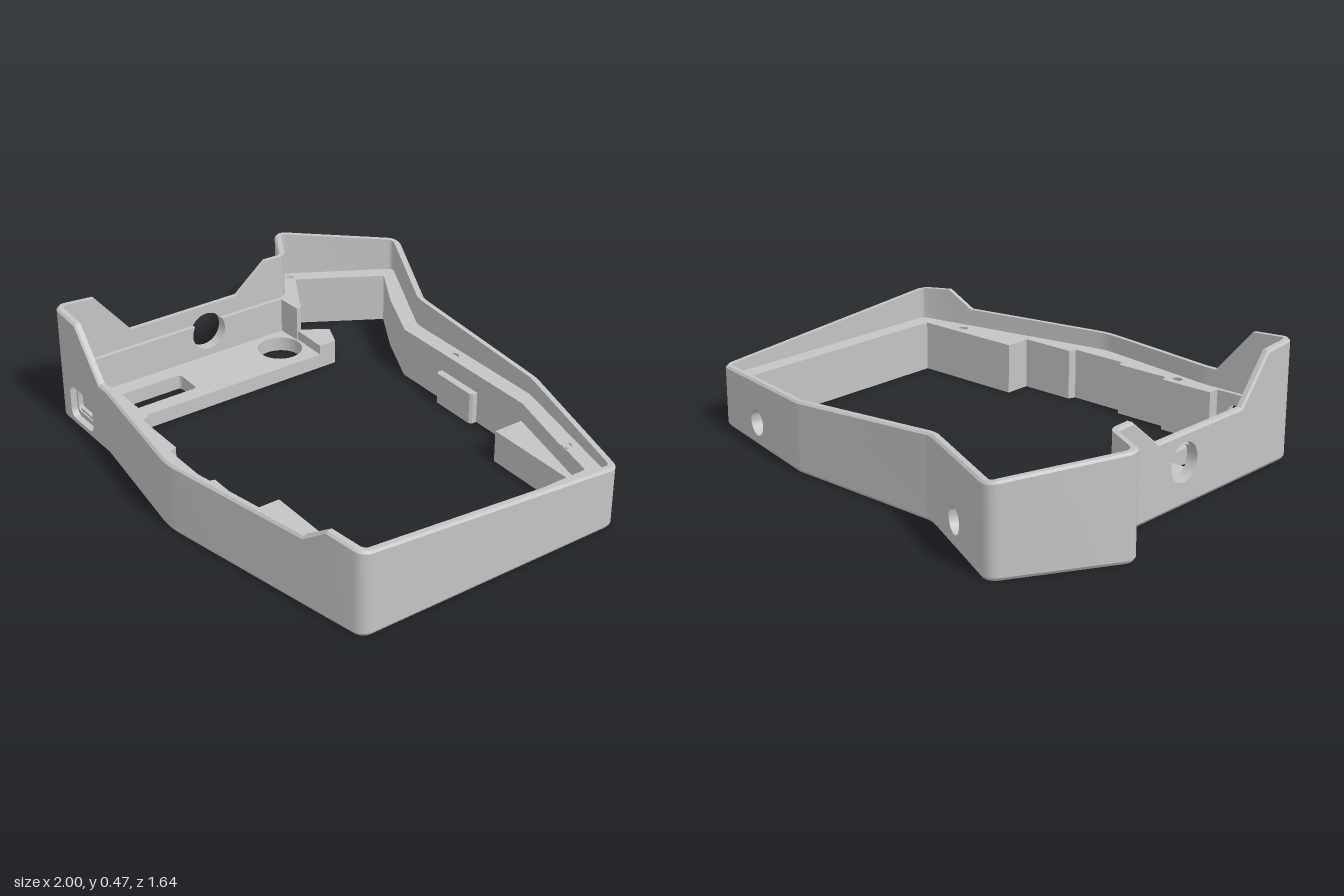
import * as THREE from 'three';
import { toCreasedNormals } from 'three/addons/utils/BufferGeometryUtils.js';

const RIM = 0.027, WALL = 0.045, CHAMFER = 0.008, LEDGE = 0.205;

const circle = (r) => (cx, cy) => new THREE.Path().absarc(cx, cy, r, 0, Math.PI * 2, true);

function roundedRect(P, cx, cy, w, h, r) {
  const p = new P(), x = w / 2 - r, y = h / 2 - r;
  p.absarc(cx + x, cy + y, r, 0, Math.PI / 2);
  p.absarc(cx - x, cy + y, r, Math.PI / 2, Math.PI);
  p.absarc(cx - x, cy - y, r, Math.PI, Math.PI * 1.5);
  p.absarc(cx + x, cy - y, r, Math.PI * 1.5, Math.PI * 2);
  p.closePath();
  return p;
}

const slotPath = (cx, cy) => roundedRect(THREE.Path, cx, cy, 0.17, 0.14, 0.032);

// Openings in the wall: position and outline
const SIDE_R = 0.075;
const backRightHole = { x: 0.72, z: -0.525, y: 0.09, path: circle(0.05) };
const backLeftHole = { x: -0.49, z: -0.71, y: 0.1, path: circle(0.05) };
const sideHole = { x: -0.83, z: 0.09, y: 0.165, path: circle(SIDE_R) };
const slot = { x: -0.6525, z: 0.745, y: 0.0995, path: slotPath };

// Outline corners: x, z, corner radius, opening in the stretch that follows
const CORNERS = [
  [-0.83, -0.278, 0.03], [-1.016, -0.383, 0.05], [-0.752, -0.838, 0.05, backLeftHole],
  [-0.28, -0.605, 0.1], [0.4, -0.605, 0.1, backRightHole], [1, -0.455, 0.05],
  [1, 0.645, 0.05], [0.846, 0.676, 0], [0.74, 0.697, 0], [0.1, 0.823, 0.3],
  [-0.45, 0.747, 0.1], [-0.5, 0.747, 0, slot], [-0.66, 0.747, 0, slot], [-0.77, 0.747, 0],
  [-0.83, 0.747, 0.05], [-0.83, 0.58, 0], [-0.83, 0.43, 0, sideHole],
  [-0.83, -0.06, 0], [-0.83, -0.2, 0],
];

// Tilted rim with lowered stretches at the front and the side
function rimHeight(x, z) {
  let h = 0.245 + 0.07 * (1 - x) + 0.08 * (z + 0.45);
  if (z > 0.6) h = Math.min(h, 0.275 + Math.max(0, (x - 0.74) * 0.78, (-0.5 - x) * 1.16));
  if (x < -0.78 && z > -0.27 && z < 0.7)
    h = Math.min(h, 0.275 + Math.max(0, (z - 0.43) * 1.23, (-0.06 - z) * 0.82));
  return h;
}

// Points with outward normals along the rounded outline
function sampleOutline() {
  const out = [], n = CORNERS.length;
  CORNERS.forEach(([x, z, r, hole], i) => {
    const a = CORNERS[(i + n - 1) % n], b = CORNERS[(i + 1) % n];
    const d1 = new THREE.Vector2(x - a[0], z - a[1]).normalize();
    const d2 = new THREE.Vector2(b[0] - x, b[1] - z).normalize();
    if (!r) {
      out.push({ x, z, nx: d2.y, nz: -d2.x, hole });
      return;
    }
    const turn = Math.atan2(d1.cross(d2), d1.dot(d2)), side = Math.sign(turn);
    const t = r * Math.tan(Math.abs(turn) / 2);
    const cx = x - d1.x * t - d1.y * r * side, cz = z - d1.y * t + d1.x * r * side;
    const a0 = Math.atan2(-d1.x, d1.y), steps = 6;
    for (let k = 0; k <= steps; k++) {
      const ang = a0 + turn * k / steps, nx = Math.cos(ang), nz = Math.sin(ang);
      out.push({ x: cx + nx * r * side, z: cz + nz * r * side, nx, nz, hole: k === steps ? hole : undefined });
    }
  });
  return out;
}

const bandTop = (x, z) => (x < -0.78 && z > -0.25 && z < 0.65 ? 0.25 : LEDGE);

// Wall cross-section as [inset, height]: up the outside, down the stepped inside
function section(s) {
  const h = rimHeight(s.x, s.z), m = bandTop(s.x, s.z), c = CHAMFER;
  return [[c, 0], [0, 0.012], [0, m], [0, h - c], [c, h], [RIM, h],
    [RIM, Math.max(m, LEDGE + 0.004)], [RIM, LEDGE], [WALL, LEDGE], [WALL, 0.012], [WALL, 0]]
    .map(([o, y]) => [s.x - s.nx * o, y, s.z - s.nz * o]);
}

function wallGeometry(samples) {
  const pos = [];
  samples.forEach((s, i) => {
    const A = section(s), B = section(samples[(i + 1) % samples.length]);
    const skipped = !s.hole ? [] : s.hole === sideHole ? [1, 6, 7, 8] : [1, 8];
    for (let j = 0; j < A.length; j++) {
      if (skipped.includes(j)) continue; // filled by a pierced panel
      const k = (j + 1) % A.length;
      pos.push(...A[j], ...A[k], ...B[k], ...A[j], ...B[k], ...B[j]);
    }
  });
  const g = new THREE.BufferGeometry();
  g.setAttribute('position', new THREE.Float32BufferAttribute(pos, 3));
  return toCreasedNormals(g, 0.45);
}

// Flat piece of wall, drawn by a function of its length and the opening's distance along it
function panelGeometry(start, end, hole, draw, depth, inset) {
  const L = Math.hypot(end.x - start.x, end.z - start.z);
  const shape = draw(L, Math.hypot(hole.x - end.x, hole.z - end.z));
  const g = new THREE.ExtrudeGeometry(shape, { depth, bevelEnabled: false, curveSegments: 16 });
  const n = new THREE.Vector3((end.z - start.z) / L, 0, -(end.x - start.x) / L);
  const m = new THREE.Matrix4().makeBasis(new THREE.Vector3(n.z, 0, -n.x), new THREE.Vector3(0, 1, 0), n);
  const back = inset + depth;
  m.setPosition(end.x - n.x * back, 0, end.z - n.z * back);
  return toCreasedNormals(g.applyMatrix4(m), 0.5);
}

const piercedPanel = (hole) => (L, s) => {
  const top = bandTop(hole.x, hole.z);
  const shape = new THREE.Shape([[0, 0.012], [L, 0.012], [L, top], [0, top]].map((p) => new THREE.Vector2(...p)));
  shape.holes.push(hole.path(s, hole.y));
  return shape;
};

// Thicker lower lining, notched by the round side opening
const notchedLining = (L, s) => {
  const a = Math.asin((LEDGE - sideHole.y) / SIDE_R);
  const shape = new THREE.Shape().moveTo(0, 0.012).lineTo(L, 0.012).lineTo(L, LEDGE);
  return shape.absarc(s, sideHole.y, SIDE_R, a, Math.PI - a, true).lineTo(0, LEDGE);
};

// Horizontal slab from plan points [x, z]
function slab(points, y0, y1, holes = []) {
  const shape = new THREE.Shape(points.map(([x, z]) => new THREE.Vector2(x, -z)));
  shape.holes.push(...holes);
  const g = new THREE.ExtrudeGeometry(shape, { depth: y1 - y0, bevelEnabled: false, curveSegments: 16 });
  return toCreasedNormals(g.rotateX(-Math.PI / 2).translate(0, y0, 0), 0.5);
}

export function createModel() {
  const group = new THREE.Group();
  const grey = new THREE.MeshStandardMaterial({ color: 0xc4c4c4 });
  grey.name = 'case grey';
  const add = (name, geometry) => {
    const mesh = new THREE.Mesh(geometry, grey);
    mesh.name = name;
    group.add(mesh);
  };

  // Outer wall and its pierced panels
  const samples = sampleOutline();
  add('outerWall', wallGeometry(samples));
  for (const [name, hole] of Object.entries({ backRightHole, backLeftHole, sideHole, slot })) {
    const first = samples.findIndex((s) => s.hole === hole);
    let last = first;
    while (samples[last].hole === hole) last++;
    const ends = [samples[first], samples[last], hole];
    add(name + 'Panel', panelGeometry(...ends, piercedPanel(hole), hole === sideHole ? RIM : WALL, 0));
    if (hole === sideHole) add('sideLining', panelGeometry(...ends, notchedLining, WALL - RIM, RIM));
  }

  // Inner ledge with stepped blind screw holes
  const ledgeEnd = samples.findIndex((s) => s.hole === slot);
  const ledge = samples.slice(0, ledgeEnd + 1).map((s) => [s.x - s.nx * WALL, s.z - s.nz * WALL]);
  ledge.push([-0.525, 0.702], [-0.525, 0.655], [-0.3, 0.655], [-0.29, 0.685], [-0.06, 0.685],
    [-0.05, 0.715], [0.19, 0.715], [0.2, 0.685], [0.43, 0.685], [0.43, 0.575], [0.9, 0.575],
    [0.9, -0.39], [0.43, -0.51], [-0.28, -0.51], [-0.51, -0.615], [-0.71, -0.73],
    [-0.9, -0.41], [-0.68, -0.285], [-0.68, -0.265]);
  const screws = (r) => [[0, -0.535], [0.745, -0.445], [0.73, 0.62], [-0.34, 0.695], [-0.928, -0.4]]
    .map(([x, z]) => circle(r)(x, -z));
  add('ledgeBase', slab(ledge, 0, 0.12));
  add('ledgeMiddle', slab(ledge, 0.12, 0.19, screws(0.01)));
  add('ledgeTop', slab(ledge, 0.19, LEDGE, screws(0.02)));

  // Lower supports on the back side
  add('backCornerSupport', slab([[0.43, -0.53], [0.43, -0.385], [0.91, -0.385], [0.91, -0.41]], 0, 0.13));
  add('backTab', slab([[-0.04, -0.52], [-0.04, -0.49], [-0.03, -0.48], [0.165, -0.48], [0.175, -0.49], [0.175, -0.52]], 0, 0.13));

  // Floor strip beside the side wall
  add('floorStrip', slab([[-0.8, 0.715], [-0.525, 0.715], [-0.525, -0.27], [-0.8, -0.27]], 0, 0.06, [
    circle(0.09)(-0.665, 0.17),
    roundedRect(THREE.Path, -0.6525, -0.43, 0.125, 0.31, 0.015),
  ]));
  add('floorEndBlock', slab([[-0.69, -0.27], [-0.525, -0.27], [-0.525, -0.345], [-0.62, -0.385], [-0.685, -0.285]], 0, 0.1));
  add('slotBlock', slab([[-0.74, 0.645], [-0.57, 0.645], [-0.57, 0.7], [-0.74, 0.7]], 0.05, 0.11));

  // Stepped frame inside the front slot
  const frame = roundedRect(THREE.Shape, -0.6525, 0.0995, 0.175, 0.145, 0.034);
  frame.holes.push(roundedRect(THREE.Path, -0.6525, 0.105, 0.15, 0.11, 0.02));
  const frameGeometry = new THREE.ExtrudeGeometry(frame, { depth: 0.02, bevelEnabled: false, curveSegments: 8 });
  add('slotFrame', toCreasedNormals(frameGeometry.translate(0, 0, 0.701), 0.5));

  return group;
}
